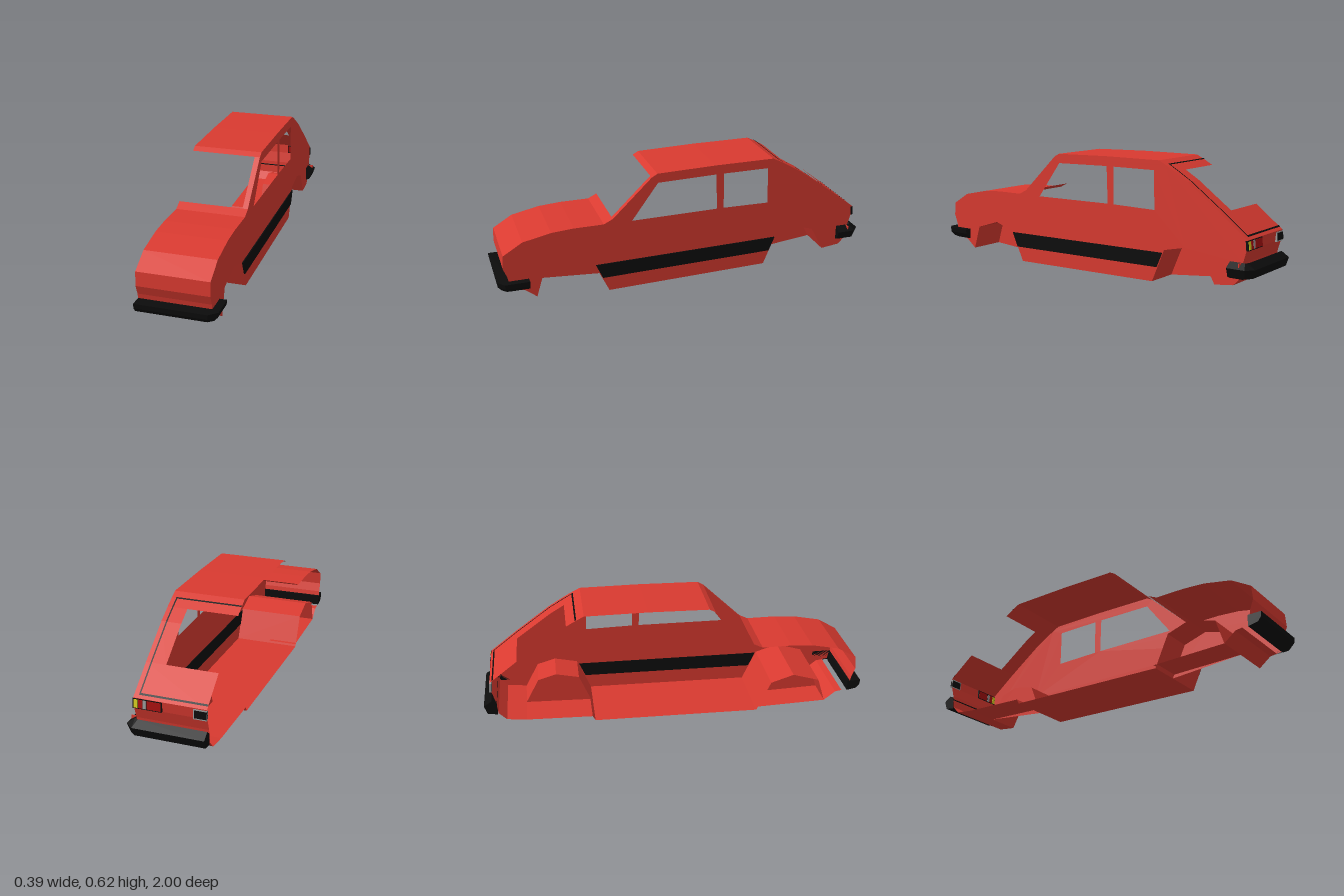
import * as THREE from 'three';

const paint = (color) => new THREE.MeshStandardMaterial({ color, flatShading: true, side: THREE.DoubleSide });
const RED = paint(0xd93a30), BLACK = paint(0x0c0c0c), YELLOW = paint(0xd8d020), LAMP = paint(0xa81010), GREY = paint(0x9a9a9a);
const CUT = -0.197, SIDE = 0.158;

// Profiles are [z, y] points
const nose = [[0.9, 0.085], [0.93, 0.09], [0.942, 0.14], [0.947, 0.165], [0.965, 0.212], [0.96, 0.282]];
const hood = [[0.96, 0.282], [0.86, 0.343], [0.715, 0.373], [0.6, 0.381], [0.447, 0.381], [0.4, 0.404]];
const screen = [[0.4, 0.404], [0.193, 0.602]];
const roof = [[0.193, 0.602], [0.163, 0.619], [-0.15, 0.626], [-0.47, 0.626], [-0.51, 0.606], [-0.56, 0.578]];
const rearWindow = [[-0.56, 0.578], [-0.635, 0.533], [-0.815, 0.402]];
const hatch = [[-0.815, 0.402], [-0.96, 0.29]];
const tail = [[-0.96, 0.29], [-0.955, 0.24], [-0.938, 0.18], [-0.93, 0.11], [-0.89, 0.07], [-0.79, 0.058]];
const rearArch = [[-0.79, 0.058], [-0.72, 0.187], [-0.625, 0.214], [-0.505, 0.187], [-0.436, 0.02]];
const floor = [[-0.436, 0.02], [0.43, 0.004]];
const frontArch = [[0.43, 0.004], [0.505, 0.165], [0.625, 0.203], [0.765, 0.16], [0.805, 0.032]];
const chin = [[0.805, 0.032], [0.865, 0.08], [0.9, 0.085]];

// Skin panel: a profile swept straight across x
function panel(profile, x0, x1, lift = 0) {
  const pos = [], idx = [];
  profile.forEach(([z, y], i) => {
    pos.push(x0, y + lift, z, x1, y + lift, z);
    if (i) idx.push(2 * i - 2, 2 * i - 1, 2 * i, 2 * i - 1, 2 * i + 1, 2 * i);
  });
  const g = new THREE.BufferGeometry();
  g.setAttribute('position', new THREE.Float32BufferAttribute(pos, 3));
  g.setIndex(idx);
  g.computeVertexNormals();
  return g;
}

const pts = (list) => list.map(([z, y]) => new THREE.Vector2(-z, y));

// Flat plate in a plane of constant x
function plate(outline, x, holes = []) {
  const shape = new THREE.Shape(pts(outline));
  holes.forEach((h) => shape.holes.push(new THREE.Path(pts(h))));
  return new THREE.ShapeGeometry(shape).rotateY(Math.PI / 2).translate(x, 0, 0);
}

// Bumper: closed section of [inset, y] following a wrapped plan path
function bumper(dir, end, section) {
  const path = [[CUT, 1, 0, 1], [0.155, 1, 0.4, 1], [0.194, 0.965, 1, 0.4], [0.194, end, 1, 0]];
  const n = section.length, pos = [], idx = [];
  for (const [x, z, nx, nz] of path) {
    for (const [inset, y] of section) {
      pos.push(x - nx * Math.min(inset, 0.036), y, dir * (z - nz * inset));
    }
  }
  for (let i = 0; i < path.length - 1; i++) {
    for (let j = 0; j < n; j++) {
      const a = i * n + j, b = i * n + (j + 1) % n;
      idx.push(a, b, a + n, b, b + n, a + n);
    }
  }
  for (const s of [0, (path.length - 1) * n]) {
    for (let j = 1; j < n - 1; j++) idx.push(s, s + j, s + j + 1);
  }
  const g = new THREE.BufferGeometry();
  g.setAttribute('position', new THREE.Float32BufferAttribute(pos, 3));
  g.setIndex(idx);
  g.computeVertexNormals();
  return g;
}

export function createModel() {
  const car = new THREE.Group();
  car.name = 'halfCarBody';
  const add = (name, geometry, material = RED) => {
    const mesh = new THREE.Mesh(geometry, material);
    mesh.name = name;
    car.add(mesh);
    return mesh;
  };

  // Side wall with door windows and wheel cutouts
  const outline = [nose, hood, screen, roof, rearWindow, hatch, tail, rearArch, floor, frontArch, chin]
    .flatMap((p) => p.slice(0, -1));
  const frontWindow = [[0.3, 0.38], [0.16, 0.57], [-0.153, 0.576], [-0.16, 0.384]];
  const backWindow = [[-0.197, 0.384], [-0.195, 0.576], [-0.442, 0.576], [-0.446, 0.38]];
  add('sideWall', plate(outline, SIDE, [frontWindow, backWindow]));

  // Outer skin; the nose opens behind the bumper
  add('nosePanel', panel(nose.slice(2), CUT, SIDE));
  add('hood', panel(hood, CUT, SIDE));
  add('windshieldPillar', panel(screen, 0.131, SIDE));
  add('roof', panel(roof, CUT, SIDE));
  add('rearWindowPillar', panel(rearWindow, 0.057, SIDE));
  add('hatchLowerPanel', panel(hatch, CUT, SIDE));
  add('tailPanel', panel(tail, CUT, SIDE));
  add('chin', panel(chin, CUT, SIDE));

  // Underside and wheel wells
  add('floor', panel(floor, CUT, SIDE));
  add('frontWheelArch', panel(frontArch, CUT, SIDE));
  add('frontWellInnerWall', plate(frontArch, -0.04));
  add('frontFloorStrip', panel([[0.805, 0.032], [0.42, 0.022]], CUT, -0.04));
  add('rearWheelArch', panel(rearArch, -0.02, SIDE));
  add('rearWellInnerWall', plate(rearArch, -0.02));
  add('rearFloorStrip', panel([[-0.79, 0.058], [-0.45, 0.046], [-0.436, 0.02]], CUT, -0.02));

  // Black rubbing strip along the sill, visible on both faces of the wall
  const strip = new THREE.Shape(pts([[0.497, 0.16], [0.463, 0.083], [-0.463, 0.097], [-0.495, 0.172]]));
  add('sideStrip', new THREE.ExtrudeGeometry(strip, { depth: 0.009, bevelEnabled: false })
    .rotateY(Math.PI / 2).translate(0.155, 0, 0), BLACK);

  // Bumpers
  add('frontBumper', bumper(1, 0.84, [[0, 0.14], [0.003, 0.115], [0.02, 0.093], [0.07, 0.083], [0.07, 0.14]]), BLACK);
  add('rearBumper', bumper(-1, 0.87, [[0.04, 0.182], [0, 0.156], [0.015, 0.112], [0.065, 0.103], [0.065, 0.16]]), BLACK);
  add('rearBumperLip', new THREE.BoxGeometry(0.028, 0.018, 0.004).translate(0.172, 0.173, -0.93));

  // Hatch seam
  const seam = [[-0.512, 0.605], ...rearWindow, [-0.946, 0.301]];
  add('hatchSeamSide', panel(seam, 0.127, 0.134, 0.003), BLACK);
  add('hatchSeamTop', panel([[-0.508, 0.607], [-0.516, 0.603]], CUT, 0.134, 0.003), BLACK);
  add('hatchSeamBottom', panel([[-0.94, 0.305], [-0.948, 0.299]], CUT, 0.134, 0.003), BLACK);

  // Tail lamps and number plate, tilted with the tail panel
  const tailBox = (name, x0, x1, y0, y1, depth, material) => {
    const mesh = add(name, new THREE.BoxGeometry(x1 - x0, y1 - y0, depth), material);
    mesh.position.set((x0 + x1) / 2, (y0 + y1) / 2, -0.958);
    mesh.rotation.x = 0.1;
  };
  tailBox('lampHousing', 0.018, 0.16, 0.24, 0.288, 0.012, BLACK);
  tailBox('turnLamp', 0.135, 0.155, 0.244, 0.284, 0.016, YELLOW);
  tailBox('brakeLamp', 0.112, 0.133, 0.244, 0.284, 0.016, LAMP);
  tailBox('reverseLamp', 0.094, 0.11, 0.244, 0.284, 0.016, GREY);
  tailBox('tailLamp', 0.022, 0.09, 0.244, 0.284, 0.016, LAMP);
  tailBox('plateFrame', CUT, -0.132, 0.237, 0.285, 0.012, GREY);
  tailBox('plate', CUT, -0.138, 0.243, 0.279, 0.016, BLACK);

  return car;
}
